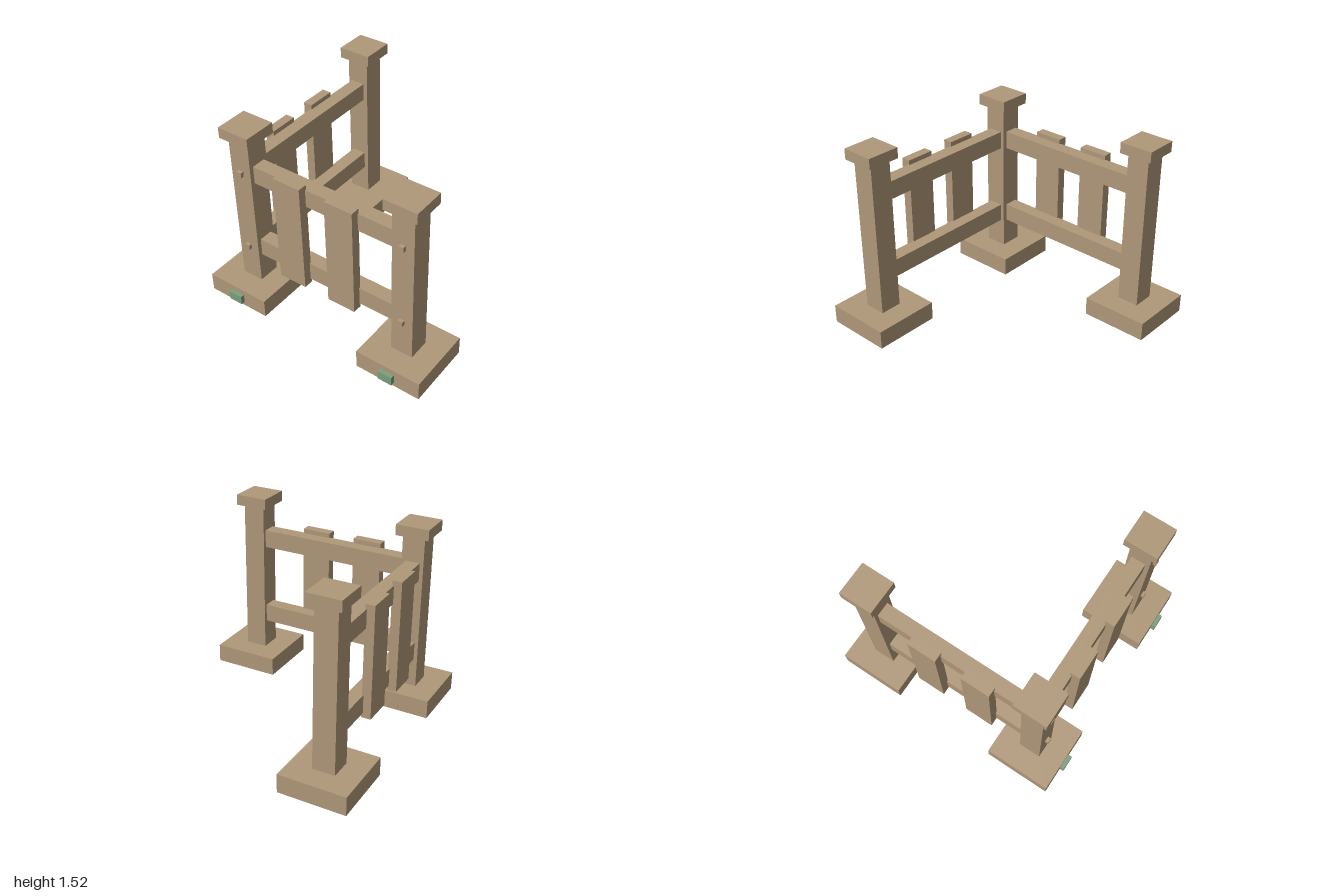
import * as THREE from 'three';

export function createModel() {
  const model = new THREE.Group();
  const wood = new THREE.MeshStandardMaterial({ color: 0xb09879 });
  wood.name = 'wood';
  const green = new THREE.MeshStandardMaterial({ color: 0x7d9e7d });
  green.name = 'green';

  // Box given by its extents along each axis
  function box(name, [x0, x1], [y0, y1], [z0, z1], material = wood, parent = model) {
    const mesh = new THREE.Mesh(new THREE.BoxGeometry(x1 - x0, y1 - y0, z1 - z0), material);
    mesh.position.set((x0 + x1) / 2, (y0 + y1) / 2, (z0 + z1) / 2);
    mesh.name = name;
    parent.add(mesh);
  }
  const around = (c, size) => [c - size / 2, c + size / 2];

  const X = 0.71, FRONT = 0.695, BACK = -0.728;
  const railHeights = [[0.39, 0.54], [1.075, 1.222]];

  // Posts with footing and cap; the front ones carry pegs and a green tag
  for (const [name, x, z] of [['cornerPost', -X, FRONT], ['frontPost', X, FRONT], ['backPost', -X, BACK]]) {
    const post = new THREE.Group();
    post.name = name;
    model.add(post);
    box('footing', around(x, 0.543), [0, 0.152], around(z, 0.543), wood, post);
    box('shaft', around(x, 0.18), [0.152, 1.43], around(z, 0.18), wood, post);
    box('cap', around(x, 0.27), [1.43, 1.517], around(z, 0.27), wood, post);
    if (z === FRONT) {
      for (const y of [0.463, 1.148]) {
        box('peg', around(x, 0.042), around(y, 0.042), [0.78, 0.812], wood, post);
      }
      box('footingTag', around(x, 0.12), [0.035, 0.11], [0.96, 1.0], green, post);
    }
  }

  // Rails between the posts
  for (const y of railHeights) {
    box('frontRail', [-0.625, 0.625], y, [0.635, 0.75]);
    box('sideRail', [-0.77, -0.655], y, [-0.645, 0.61]);
  }

  // Upright slats on the outer faces of the rails
  const slatHeight = [0.353, 1.26];
  for (const x of [-0.26, 0.195]) box('frontSlat', around(x, 0.238), slatHeight, [0.738, 0.815]);
  for (const z of [-0.212, 0.241]) box('sideSlat', [-0.833, -0.758], slatHeight, around(z, 0.238));

  return model;
}
